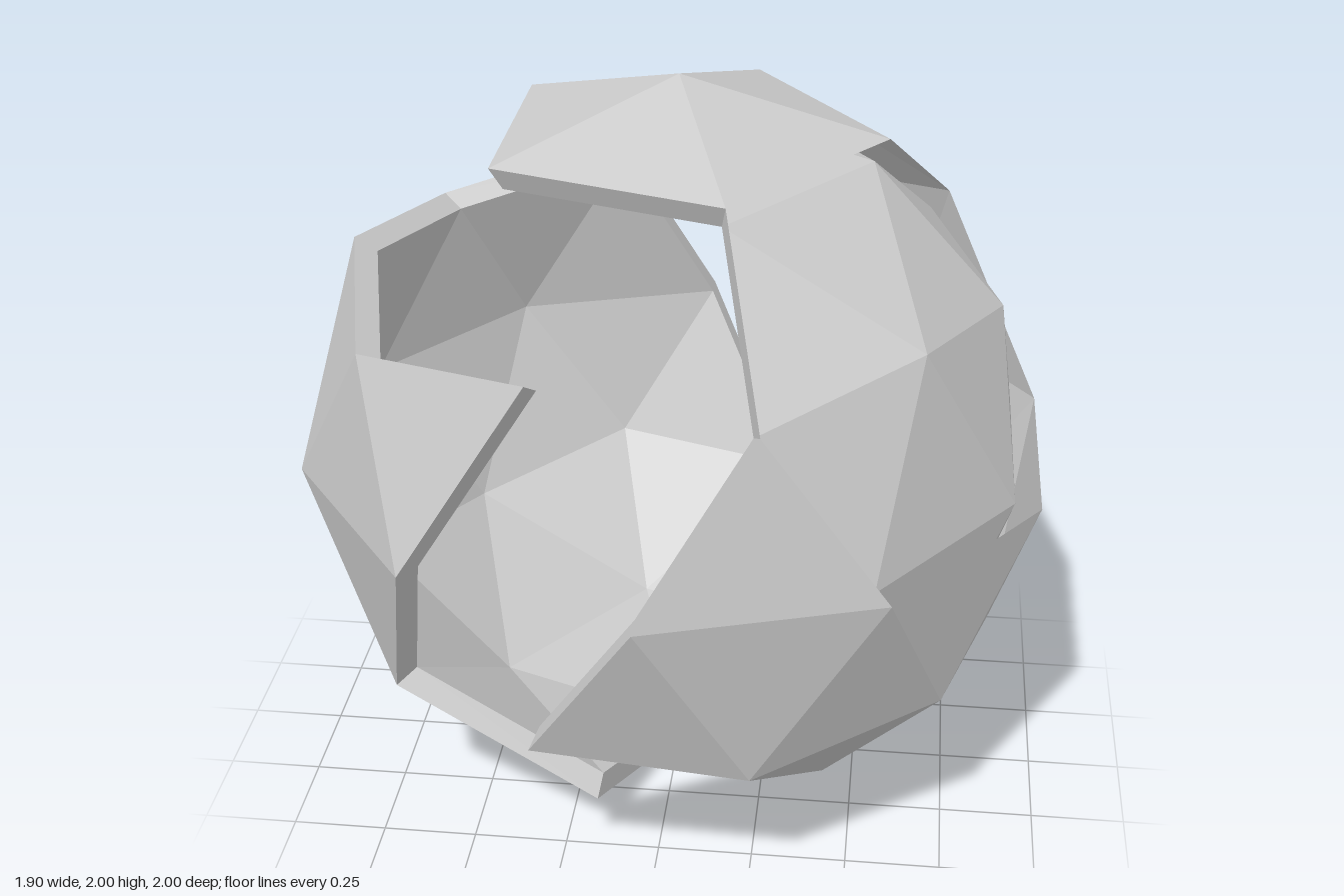
import * as THREE from 'three';

const INNER = 0.93; // inner skin radius relative to the outer one
const material = new THREE.MeshStandardMaterial({ color: 0xcccccc, flatShading: true, side: THREE.DoubleSide });

// Named points of a twice-divided icosahedron: rings from the top pole T to the bottom pole S
function makePoints() {
  const p = { T: new THREE.Vector3(0, 1, 0), S: new THREE.Vector3(0, -1, 0) };
  const ring = (name, count, start, y) => {
    const r = Math.sqrt(1 - y * y);
    for (let i = 0; i < count; i++) {
      const a = THREE.MathUtils.degToRad(start + (i * 360) / count);
      p[name + i] = new THREE.Vector3(r * Math.cos(a), y, r * Math.sin(a));
    }
  };
  ring('A', 5, 0, 0.8507);
  ring('M', 5, 36, 0.5257);
  ring('U', 5, 0, 0.4472);
  ring('E', 10, 18, 0);
  ring('L', 5, 36, -0.4472);
  ring('N', 5, 0, -0.5257);
  ring('B', 5, 36, -0.8507);
  return p;
}

// The 80 triangles, one fifth at a time, wound to face outward
function makeFaces(p) {
  const faces = [];
  for (let k = 0; k < 5; k++) {
    const n = (k + 1) % 5, b = (k + 4) % 5;
    const e = `E${2 * k}`, f = `E${2 * k + 1}`, g = `E${(2 * k + 9) % 10}`;
    const A = `A${k}`, A1 = `A${n}`, M = `M${k}`, U = `U${k}`, U1 = `U${n}`;
    const L = `L${k}`, L0 = `L${b}`, N = `N${k}`, B = `B${k}`, B0 = `B${b}`;
    faces.push(
      ['T', A, A1], [A, U, M], [A, A1, M], [A1, M, U1],
      [M, e, f], [U, M, e], [U1, M, f], [L, e, f],
      [N, e, g], [U, e, g], [L, e, N], [L0, g, N],
      ['S', B, B0], [N, B, B0], [L, N, B], [L0, N, B0]
    );
  }
  return faces.map(([a, b, c]) => {
    const normal = p[b].clone().sub(p[a]).cross(p[c].clone().sub(p[a]));
    return normal.dot(p[a]) > 0 ? [a, b, c] : [a, c, b];
  });
}

const edgesOf = ([a, b, c]) => [[a, b], [b, c], [c, a]];
const edgeKey = ([a, b]) => (a < b ? a + b : b + a);

// All faces that can be reached from a seed point without crossing the closed outline
function facesInside(faces, seed, outline) {
  const loop = outline.split(' ');
  const border = new Set(loop.map((v, i) => edgeKey([v, loop[(i + 1) % loop.length]])));
  const found = new Set(faces.filter((f) => f.includes(seed)));
  for (const face of found) {
    const open = edgesOf(face).map(edgeKey).filter((k) => !border.has(k));
    for (const other of faces) {
      if (edgesOf(other).some((e) => open.includes(edgeKey(e)))) found.add(other);
    }
  }
  return { faces: [...found], border };
}

function makeMesh(name, corners) {
  const geometry = new THREE.BufferGeometry().setFromPoints(corners);
  geometry.computeVertexNormals();
  const mesh = new THREE.Mesh(geometry, material);
  mesh.name = name;
  return mesh;
}

export function createModel() {
  const model = new THREE.Group();
  model.name = 'brokenFacetedSphere';
  const p = makePoints();
  const faces = makeFaces(p);
  const outer = (v) => p[v];
  const inner = (v) => p[v].clone().multiplyScalar(INNER);

  // Window in the outer skin of the left shell, showing the inner skin
  const windowFaces = facesInside(faces, 'U0', 'A1 A0 M4 E9 E0 E1 U1').faces;

  const shells = [
    ['leftShell', 'T', 'A1 U1 E2 L1 N1 B0 N0 L4 E8 U4 A4 A3 A2'],
    ['rightShell', 'L2', 'E7 M3 U3 M2 U2 M1 E3 N2 B1 S B4 N4'],
  ];
  for (const [name, seed, outline] of shells) {
    const region = facesInside(faces, seed, outline);
    const shell = new THREE.Group();
    shell.name = name;

    const outerFaces = region.faces.filter((f) => !windowFaces.includes(f));
    shell.add(makeMesh('outerSkin', outerFaces.flat().map(outer)));
    shell.add(makeMesh('innerSkin', region.faces.flatMap(([a, b, c]) => [a, c, b]).map(inner)));

    // Rim joining the two skins around the outline
    const rimEdges = region.faces.flatMap(edgesOf).filter((e) => region.border.has(edgeKey(e)));
    shell.add(makeMesh('rim', rimEdges.flatMap(([a, b]) => [
      outer(a), inner(a), inner(b), outer(a), inner(b), outer(b),
    ])));

    shell.position.y = 1;
    model.add(shell);
  }
  return model;
}
